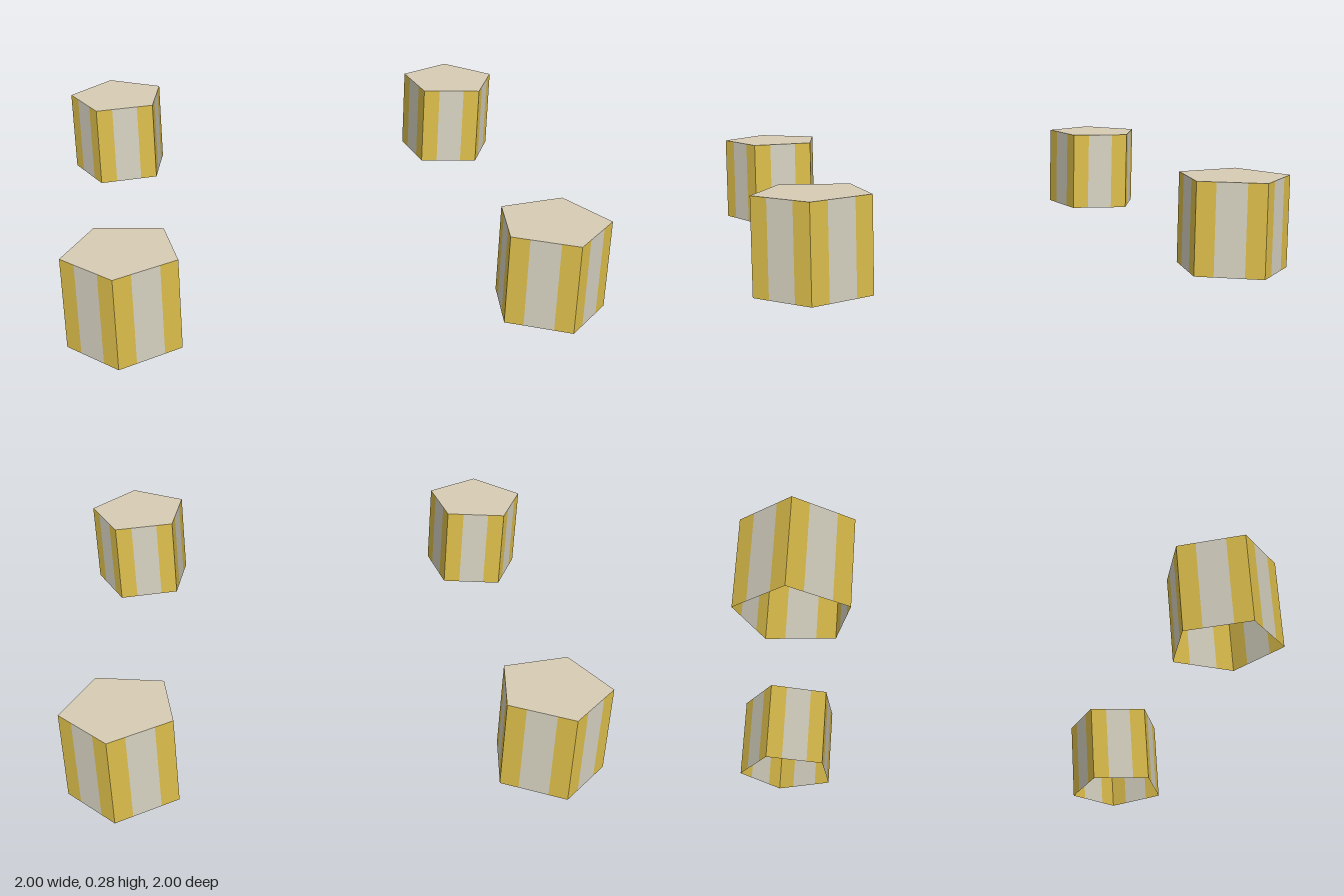
import * as THREE from 'three';

export function createModel() {
  const mat = (name, color) => {
    const m = new THREE.MeshStandardMaterial({ color, side: THREE.DoubleSide });
    m.name = name;
    return m;
  };
  const gold = mat('gold', 0xdfc04c);
  const cream = mat('cream', 0xd9d4c3);
  const tan = mat('tan', 0xd8cdb4);

  const R = 0.1686, H = 0.275;              // pentagon radius, height
  const apothem = R * Math.cos(Math.PI / 5);
  const side = 2 * R * Math.sin(Math.PI / 5);
  const edge = side * 0.28;                 // gold band at each wall edge
  const middle = side - 2 * edge;
  const offset = (middle + edge) / 2;

  // One upright strip of a wall, placed sideways by x
  const strip = (name, width, x, material) => {
    const mesh = new THREE.Mesh(new THREE.PlaneGeometry(width, H), material);
    mesh.name = name;
    mesh.position.set(x, H / 2, apothem);
    return mesh;
  };

  // Pentagonal cup, open below, flat wall towards +z and a corner towards -z
  const makeFoot = () => {
    const foot = new THREE.Group();
    foot.name = 'foot';
    for (let k = 0; k < 5; k++) {
      const wall = new THREE.Group();
      wall.name = 'wall';
      wall.add(
        strip('leftBand', edge, offset, gold),
        strip('middleBand', middle, 0, cream),
        strip('rightBand', edge, -offset, gold)
      );
      wall.rotation.y = (k * 2 * Math.PI) / 5;
      foot.add(wall);
    }
    const cap = new THREE.Mesh(new THREE.CircleGeometry(R, 5, Math.PI / 2), tan);
    cap.name = 'topCap';
    cap.rotation.x = -Math.PI / 2;
    cap.position.y = H;
    foot.add(cap);
    return foot;
  };

  // Four feet around the centre, corners pointing inwards
  const model = new THREE.Group();
  model.name = 'pentagonFeet';
  for (let i = 0; i < 4; i++) {
    const arm = new THREE.Group();
    arm.name = ['frontFoot', 'leftFoot', 'backFoot', 'rightFoot'][i];
    const foot = makeFoot();
    foot.position.z = 1 - apothem;
    arm.add(foot);
    arm.rotation.y = (i * Math.PI) / 2;
    model.add(arm);
  }
  return model;
}
